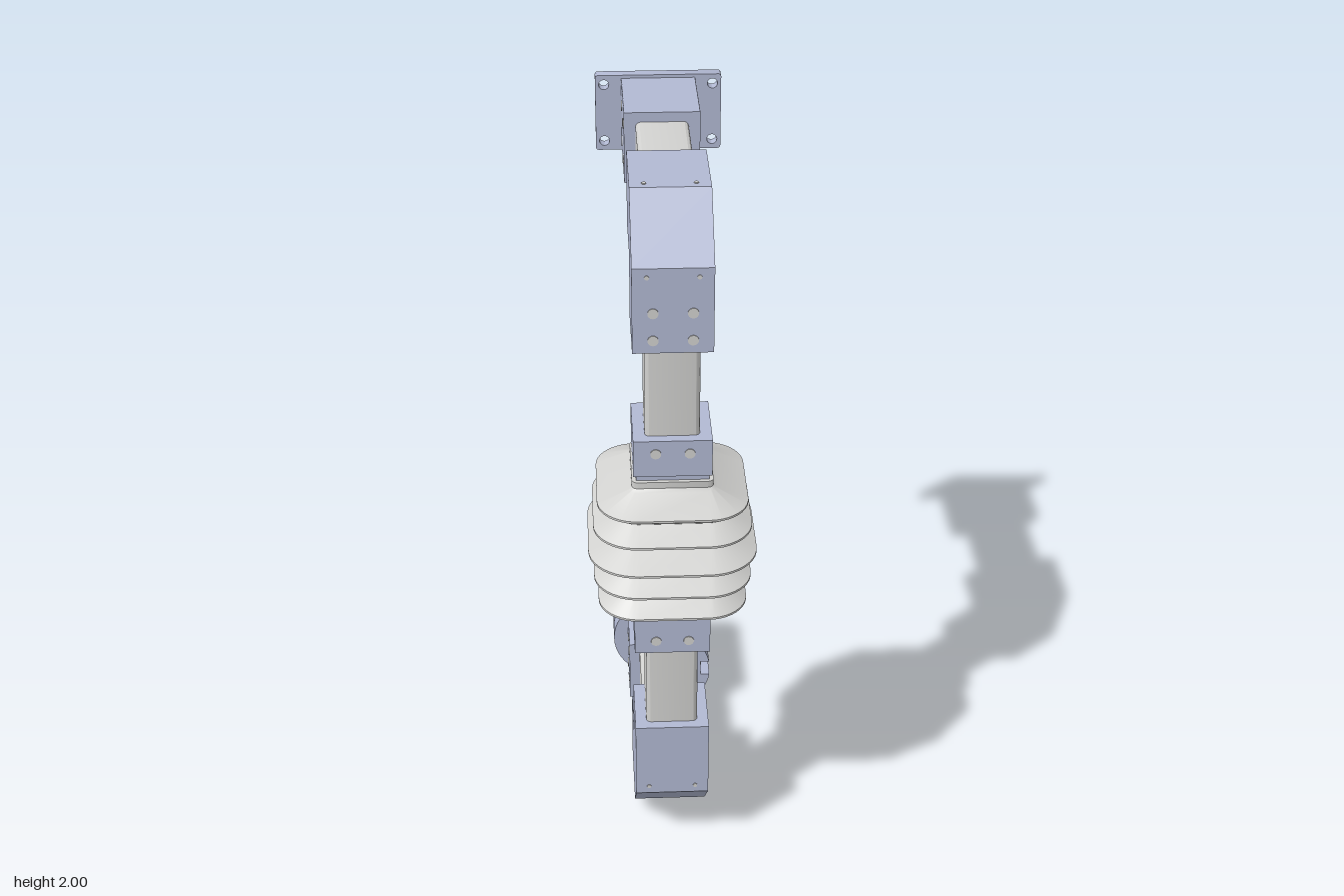
import * as THREE from 'three';
import { toCreasedNormals } from 'three/addons/utils/BufferGeometryUtils.js';

const mat = (name, color) => Object.assign(new THREE.MeshStandardMaterial({ color }), { name });

export function createModel() {
  const blue = mat('blue grey casting', 0xb2b9d3);
  const grey = mat('light grey', 0xd2d2d0);
  const root = new THREE.Group();
  const CZ = 0.304; // column centre in z

  const add = (name, geo, material, parent = root) => {
    const m = new THREE.Mesh(toCreasedNormals(geo, 0.5), material);
    m.name = name;
    parent.add(m);
    return m;
  };

  // Rounded rectangle outline (half sizes w, h, corner radius r)
  const rect = (w, h, r, T = THREE.Shape) => {
    const s = new T();
    s.moveTo(w, -h + r);
    s.lineTo(w, h - r);
    s.absarc(w - r, h - r, r, 0, Math.PI / 2);
    s.absarc(-w + r, h - r, r, Math.PI / 2, Math.PI);
    s.absarc(-w + r, -h + r, r, Math.PI, Math.PI * 1.5);
    s.absarc(w - r, -h + r, r, Math.PI * 1.5, Math.PI * 2);
    return s;
  };
  const circle = (x, y, r, T = THREE.Path) => {
    const s = new T();
    s.absarc(x, y, r, 0, Math.PI * 2);
    return s;
  };
  // Extrude an outline along z, from z0 back to z1, centred on height y
  const alongZ = (shape, y, z0, z1) =>
    new THREE.ExtrudeGeometry(shape, { depth: z0 - z1, bevelEnabled: false, curveSegments: 24 }).translate(0, y, z1);
  const withHoles = (shape, ...holes) => { shape.holes.push(...holes); return shape; };

  // Screw heads: thin discs lying on a face with the given axis
  const screws = new THREE.Group();
  screws.name = 'screws';
  root.add(screws);
  const screw = (x, y, z, axis, r = 0.014) => {
    const g = new THREE.CylinderGeometry(r, r, 0.005, 14);
    if (axis === 'x') g.rotateZ(Math.PI / 2);
    if (axis === 'z') g.rotateX(Math.PI / 2);
    add('screw', g.translate(x, y, z), grey, screws);
  };

  // Square tubes
  const tubeShape = () => withHoles(rect(0.071, 0.073, 0.014), rect(0.06, 0.062, 0.01, THREE.Path));
  for (const y of [1.89, 0.152]) add('horizontalTube', alongZ(tubeShape(), y, 0.03, -0.3), grey);
  for (const [y0, y1] of [[0.42, 0.7], [1.34, 1.62]]) {
    add('verticalTube', alongZ(tubeShape(), 0, y1 - y0, 0).rotateX(-Math.PI / 2).translate(0, y0, CZ), grey);
  }

  // Elbows: same side profile, the lower one mirrored in height
  for (const [name, f] of [['upperElbow', y => y], ['lowerElbow', y => 2.04 - y]]) {
    const s = new THREE.Shape();
    s.moveTo(0.405, f(1.61));
    s.lineTo(0.405, f(1.842));
    s.lineTo(0.256, f(1.99));
    s.lineTo(0.024, f(1.99));
    s.lineTo(0.024, f(1.79));
    s.lineTo(0.183, f(1.79));
    s.quadraticCurveTo(0.204, f(1.79), 0.204, f(1.769));
    s.lineTo(0.204, f(1.61));
    s.closePath();
    const g = new THREE.ExtrudeGeometry(s, { depth: 0.204, bevelEnabled: false, curveSegments: 6 });
    add(name, g.rotateY(-Math.PI / 2).translate(0.102, 0, 0), blue);
    for (const x of [-0.05, 0.05]) {
      for (const y of [1.72, 1.645]) screw(x, f(y), 0.204, 'z');
      for (const z of [0.06, 0.135]) screw(x, f(1.79), z, 'y');
      // Only one outer face of each elbow carries screws
      if (name === 'upperElbow') for (const y of [1.72, 1.645]) screw(x, y, 0.405, 'z');
      else for (const z of [0.06, 0.135]) screw(x, 0.05, z, 'y');
      screw(x * 1.3, f(1.818), 0.405, 'z', 0.006);
      screw(x * 1.3, f(1.99), 0.232, 'y', 0.006);
    }
  }

  // Collars and thin plates above and below the bellows
  for (const [y, plateY, sy] of [[1.303, 1.243, 1.318], [0.742, 0.802, 0.728]]) {
    add('collar', new THREE.BoxGeometry(0.204, 0.105, 0.202).translate(0, y, CZ), blue);
    add('collarPlate', new THREE.BoxGeometry(0.19, 0.02, 0.19).translate(0, plateY, CZ), blue);
    for (const x of [-0.044, 0.044]) for (const z of [0.203, 0.405]) screw(x, sy, z, 'z');
  }

  // Bellows: rounded square rings lofted through ridges and valleys
  const ridges = [[0.866, 0.197], [0.942, 0.208], [1.02, 0.222], [1.098, 0.208], [1.172, 0.197]];
  const profile = [[0.808, 0.09], [0.808, 0.106], [0.826, 0.106], [0.834, 0.116]];
  ridges.forEach(([y, w], i) => {
    profile.push([y - 0.003, w], [y + 0.003, w]);
    if (i < 4) profile.push([(y + ridges[i + 1][0]) / 2, 0.148]);
  });
  profile.push([1.21, 0.116], [1.218, 0.106], [1.236, 0.106], [1.236, 0.09]);
  const pos = [], idx = [], seg = 10, n = 4 * (seg + 1);
  for (const [y, w] of profile) {
    const r = Math.max(w - 0.09, 0.012);
    for (let c = 0; c < 4; c++) {
      const mid = Math.PI / 4 + c * Math.PI / 2;
      const cx = Math.sign(Math.cos(mid)) * (w - r), cz = Math.sign(Math.sin(mid)) * (w - r);
      for (let k = 0; k <= seg; k++) {
        const a = (c + k / seg) * Math.PI / 2;
        pos.push(cx + r * Math.cos(a), y, CZ + cz + r * Math.sin(a));
      }
    }
  }
  for (let i = 0; i < profile.length - 1; i++) {
    for (let j = 0; j < n; j++) {
      const a = i * n + j, b = i * n + (j + 1) % n;
      idx.push(a, a + n, b, b, a + n, b + n);
    }
  }
  const bellows = new THREE.BufferGeometry();
  bellows.setAttribute('position', new THREE.Float32BufferAttribute(pos, 3));
  bellows.setIndex(idx);
  add('bellows', bellows, grey);

  // Upper end: square socket and rectangular flange with corner holes
  const bore = () => rect(0.062, 0.062, 0.008, THREE.Path);
  add('squareSocket', alongZ(withHoles(rect(0.102, 0.1, 0.002), bore()), 1.89, -0.232, -0.487), blue);
  const plate = withHoles(rect(0.174, 0.109, 0.008), rect(0.09, 0.082, 0.006, THREE.Path));
  for (const x of [-0.15, 0.15]) for (const y of [-0.082, 0.082]) plate.holes.push(circle(x, y, 0.014));
  add('squareFlange', alongZ(plate, 1.89, -0.485, -0.518), blue);
  for (const x of [-0.102, 0.102]) for (const y of [1.84, 1.942]) for (const z of [-0.28, -0.405]) screw(x, y, z, 'x');

  // Lower end: socket, square on one side and rounded with a slot on the other
  const R = 0.147, by = 0.15, top = Math.asin(0.1 / R), n0 = Math.asin(-0.02 / R), n1 = Math.asin(0.028 / R);
  const s = new THREE.Shape();
  s.moveTo(-0.102, 0.1);
  s.lineTo(-0.102, -0.1);
  s.absarc(0, 0, R, -top, n0);
  s.lineTo(0.118, -0.02);
  s.lineTo(0.118, 0.028);
  s.absarc(0, 0, R, n1, top);
  s.closePath();
  add('roundSocket', alongZ(withHoles(s, bore()), by, -0.232, -0.41), blue);
  for (const z of [-0.27, -0.345]) {
    screw(0.118, 0.154, z, 'x');
    for (const y of [0.1, 0.2]) screw(-0.102, y, z, 'x');
  }

  // Round flange: two discs with a groove between, stepped bore and bolt holes
  const disc = (r, inner) => withHoles(circle(0, 0, r, THREE.Shape), circle(0, 0, inner));
  add('roundFlangeFront', alongZ(disc(R, 0.085), by, -0.408, -0.467), blue);
  add('roundFlangeGroove', alongZ(disc(0.142, 0.085), by, -0.467, -0.473), blue);
  const rear = disc(R, 0.1);
  for (let i = 0; i < 8; i++) {
    const a = (i + 0.5) * Math.PI / 4;
    rear.holes.push(circle(0.123 * Math.cos(a), 0.123 * Math.sin(a), 0.011));
  }
  add('roundFlangeRear', alongZ(rear, by, -0.473, -0.53), blue);

  return root;
}
